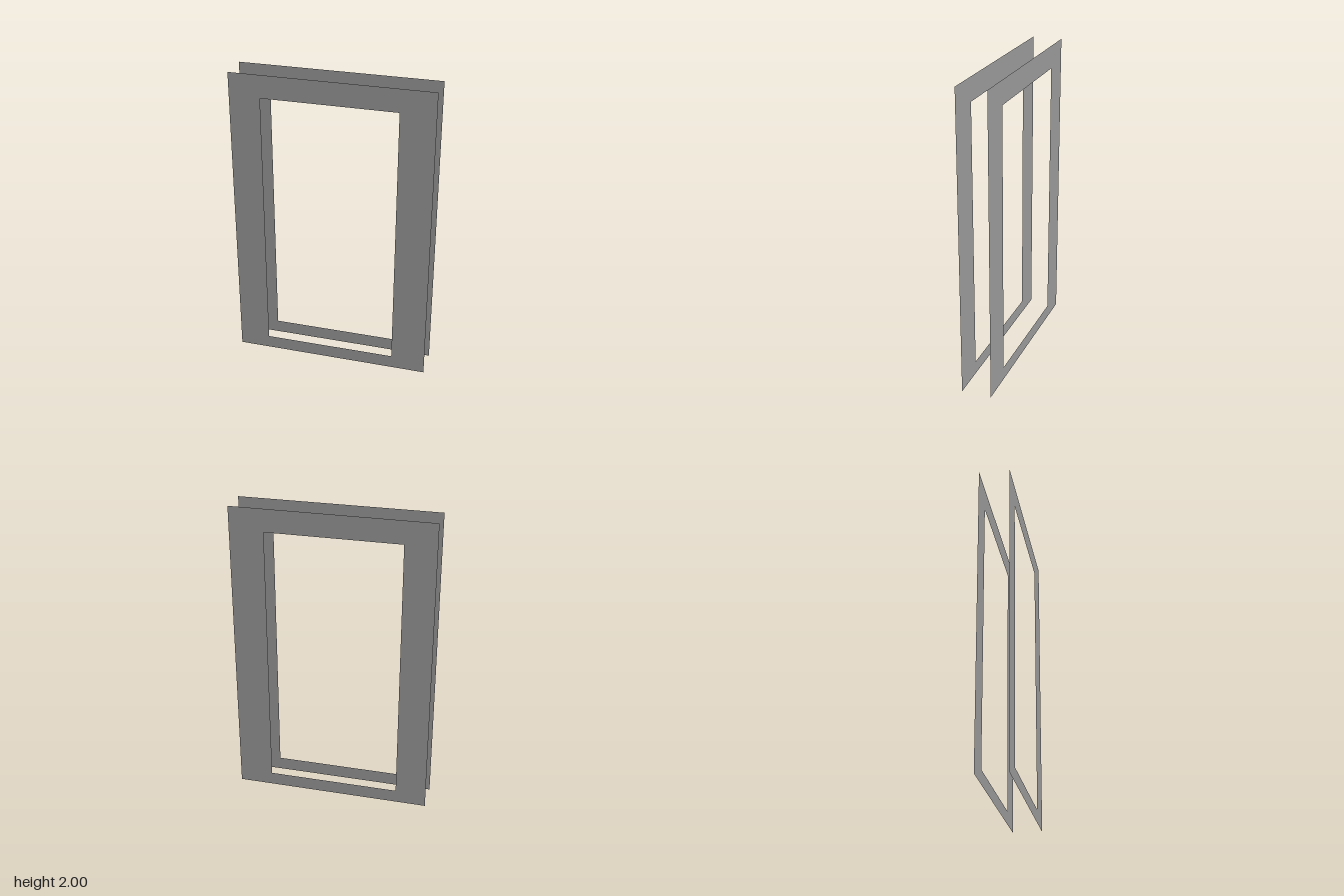
import * as THREE from 'three';

const W = 1.3, H = 2, GAP = 0.196;
const HOLE = { left: -0.447, right: 0.425, bottom: 0.088, top: 1.85 };

// Closed rectangle from its edges
function rect(path, x0, x1, y0, y1) {
  path.moveTo(x0, y0);
  path.lineTo(x1, y0);
  path.lineTo(x1, y1);
  path.lineTo(x0, y1);
  path.closePath();
  return path;
}

export function createModel() {
  const group = new THREE.Group();
  group.name = 'doubleFrame';

  // Flat panel with an off-centre opening
  const shape = rect(new THREE.Shape(), -W / 2, W / 2, 0, H);
  shape.holes.push(rect(new THREE.Path(), HOLE.left, HOLE.right, HOLE.bottom, HOLE.top));
  const geometry = new THREE.ShapeGeometry(shape);
  const material = new THREE.MeshStandardMaterial({ color: 0x999999, side: THREE.DoubleSide });

  // Two parallel sheets, front and back
  for (const [name, z] of [['frontFrame', GAP / 2], ['backFrame', -GAP / 2]]) {
    const frame = new THREE.Mesh(geometry, material);
    frame.name = name;
    frame.position.z = z;
    group.add(frame);
  }
  return group;
}
